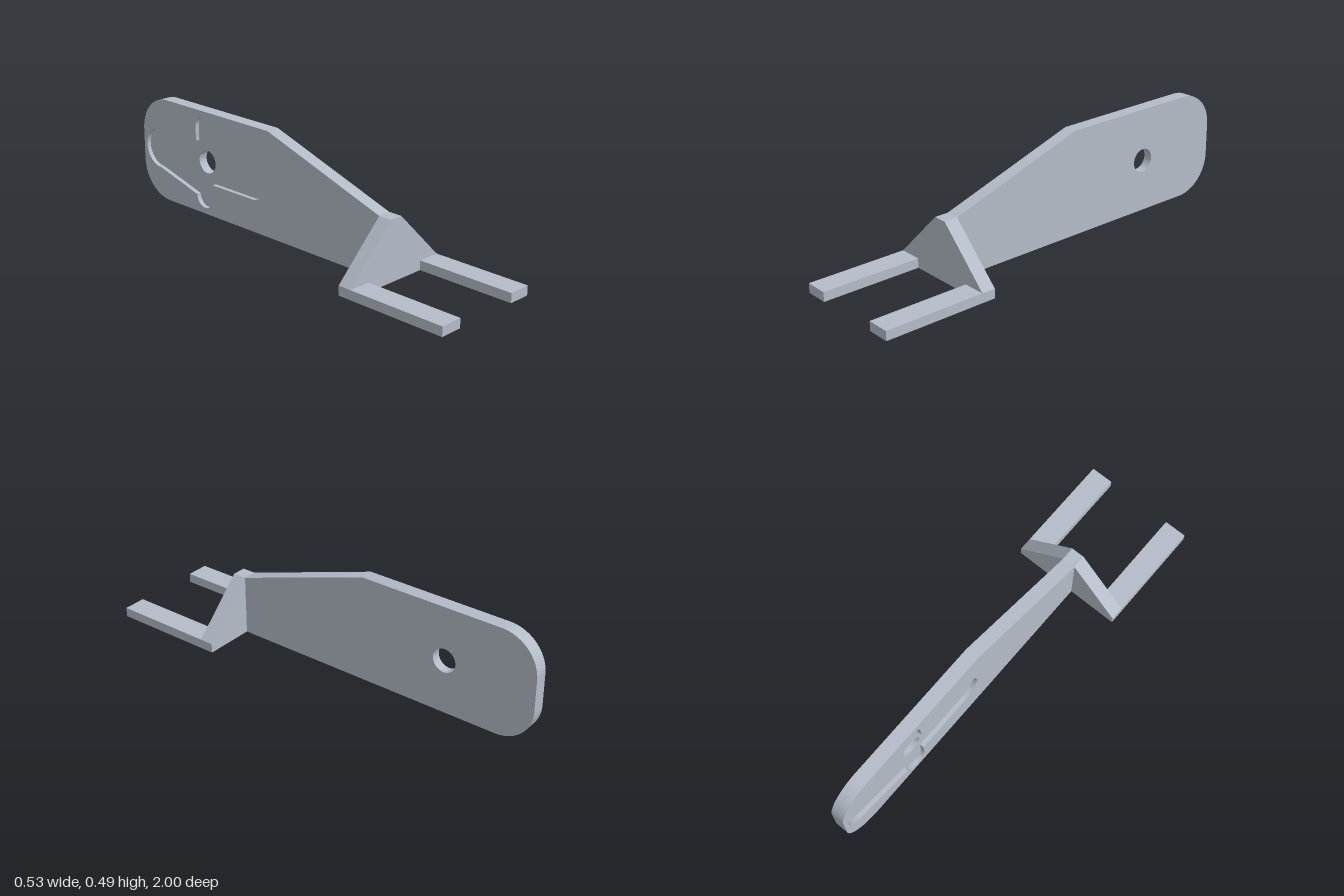
import * as THREE from 'three';
import { toCreasedNormals } from 'three/addons/utils/BufferGeometryUtils.js';

const HALF = 0.031;          // half thickness of the blade
const RECESS = 0.02;         // depth of the cross-shaped pocket
const CU = 0.578, CY = 0.243; // hole centre (u runs towards the back, u = -z)

// Blade outline in (u, y)
function bladeShape() {
  const r = 0.17, h = 0.485, s = new THREE.Shape();
  s.moveTo(-0.475, 0);
  s.lineTo(1 - r, 0);
  s.absarc(1 - r, r, r, -Math.PI / 2, 0);
  s.absarc(1 - r, h - r, r, 0, Math.PI / 2);
  s.lineTo(0.165, h);
  s.lineTo(-0.475, 0.273);
  s.closePath();
  return s;
}

// Two crossed round-ended slots as one outline
function crossPath() {
  const R = 0.093, a = 0.309, r = 0.053, b = 0.162, q = Math.PI / 2;
  const p = new THREE.Path();
  p.moveTo(CU + r, CY - R);
  p.absarc(CU + a, CY, R, -q, q);
  p.lineTo(CU + r, CY + R);
  p.absarc(CU, CY + b, r, 0, 2 * q);
  p.lineTo(CU - r, CY + R);
  p.absarc(CU - a, CY, R, q, 3 * q);
  p.lineTo(CU - r, CY - R);
  p.absarc(CU, CY - b, r, 2 * q, 4 * q);
  p.closePath();
  return p;
}

function extrude(shape, depth) {
  const g = new THREE.ExtrudeGeometry(shape, { depth, bevelEnabled: false, curveSegments: 24 });
  return toCreasedNormals(g, 0.5);
}

export function createModel() {
  const model = new THREE.Group();
  model.name = 'forkedBracket';
  const steel = new THREE.MeshStandardMaterial({ color: 0xb4bcc8 });
  steel.name = 'greySteel';
  const add = (name, geometry) => {
    const mesh = new THREE.Mesh(geometry, steel);
    mesh.name = name;
    model.add(mesh);
    return mesh;
  };

  // Blade: solid layer with the bolt hole, and a thin layer with the pocket cut through
  const solid = bladeShape();
  solid.holes.push(new THREE.Path().absarc(CU, CY, 0.054, 0, Math.PI * 2));
  const pocket = bladeShape();
  pocket.holes.push(crossPath());
  const core = add('blade', extrude(solid, 2 * HALF - RECESS).rotateY(Math.PI / 2));
  core.position.x = -HALF + RECESS;
  const face = add('bladePocketLayer', extrude(pocket, RECESS).rotateY(Math.PI / 2));
  face.position.x = -HALF;

  // Tapered cross plate at the front of the blade
  const plate = new THREE.Shape([
    [-0.263, 0], [0.263, 0], [0.263, 0.043], [HALF, 0.273], [-HALF, 0.273], [-0.263, 0.043],
  ].map(([x, y]) => new THREE.Vector2(x, y)));
  add('crossPlate', extrude(plate, 0.063)).position.z = 0.475;

  // Fork prongs
  for (const side of [1, -1]) {
    const prong = add(side > 0 ? 'leftProng' : 'rightProng', new THREE.BoxGeometry(0.105, 0.043, 0.462));
    prong.position.set(side * 0.2105, 0.0215, 0.769);
  }
  return model;
}
